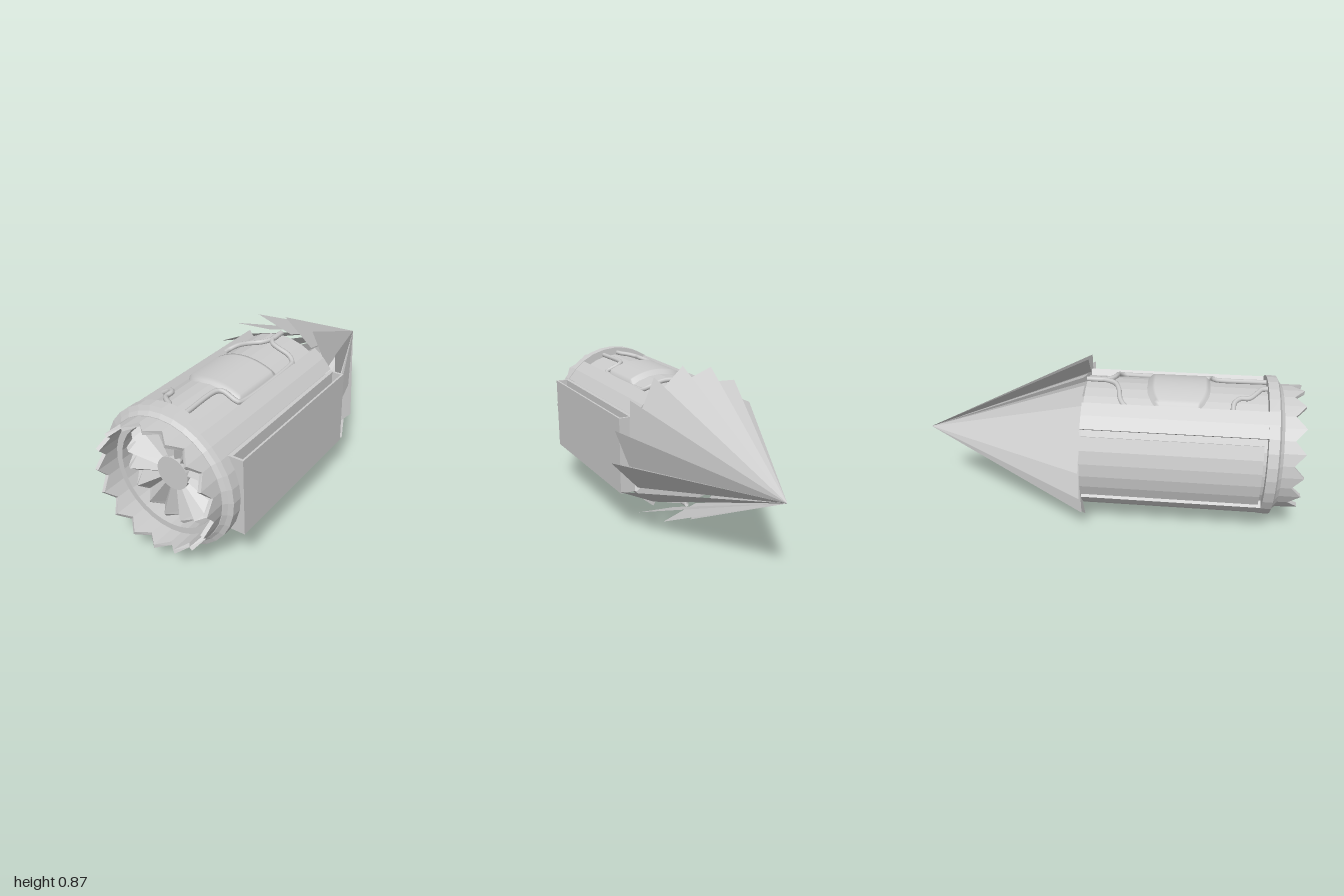
import * as THREE from 'three';
import { ParametricGeometry } from 'three/addons/geometries/ParametricGeometry.js';

const AXIS_Y = 0.44, FLOOR_R = 0.325, SIDES = 32, RAD = Math.PI / 180;

const flat = new THREE.MeshStandardMaterial({ color: 0xcccccc, flatShading: true, side: THREE.DoubleSide });
const smooth = new THREE.MeshStandardMaterial({ color: 0xcccccc, side: THREE.DoubleSide });

const polar = (r, a, z) => new THREE.Vector3(r * Math.cos(a), r * Math.sin(a), z);

// Skin a list of equally long rows of points
function loft(rows) {
  const n = rows[0].length, index = [];
  for (let i = 0; i < rows.length - 1; i++)
    for (let j = 0; j < n - 1; j++) {
      const a = i * n + j, b = a + n;
      index.push(a, b, a + 1, b, b + 1, a + 1);
    }
  const g = new THREE.BufferGeometry().setFromPoints(rows.flat());
  g.setIndex(index);
  g.computeVertexNormals();
  return g;
}

// Turned part about the z axis, profile as [radius, z]
function turned(profile) {
  const points = profile.map(([r, z]) => new THREE.Vector2(r, z));
  return new THREE.LatheGeometry(points, SIDES).rotateX(Math.PI / 2);
}

// Curved slab between two angles, running along z
function slab(rIn, rOut, from, to, z0, z1) {
  const steps = Math.max(2, Math.round((to - from) / 11));
  const pts = [];
  for (const [r, a, b] of [[rOut, from, to], [rIn, to, from]])
    for (let i = 0; i <= steps; i++) {
      const t = (a + (b - a) * i / steps) * RAD;
      pts.push(new THREE.Vector2(r * Math.cos(t), r * Math.sin(t)));
    }
  return new THREE.ExtrudeGeometry(new THREE.Shape(pts), { depth: z1 - z0, bevelEnabled: false }).translate(0, 0, z0);
}

// Pipe laid on the curved floor, path as [x, z]; side is +1 top or -1 bottom
function pipe(path, side) {
  const r = FLOOR_R + 0.012;
  const pts = path.map(([x, z]) => new THREE.Vector3(x, side * Math.sqrt(r * r - x * x), z));
  const curve = new THREE.CatmullRomCurve3(pts, false, 'centripetal');
  return new THREE.TubeGeometry(curve, 60, 0.013, 8);
}

// Raised cover with one round end and chamfered long edges
function cover(side) {
  return new ParametricGeometry((u, v, out) => {
    const x = -0.185 + 0.355 * u;
    const k = Math.max(0, 1 - (x + 0.185) / 0.15);
    const half = 0.07 + 0.095 * Math.sqrt(1 - k * k);
    const w = v * 2 - 1;
    const lift = Math.min(1, (1 - Math.abs(w)) * 6, u * 12, (1 - u) * 30);
    const r = FLOOR_R - 0.004 + 0.026 * lift;
    out.set(x, side * Math.sqrt(r * r - x * x), 0.36 + half * w);
  }, 30, 24);
}

export function createModel() {
  const root = new THREE.Group();
  const model = new THREE.Group();
  model.name = 'drillBody';
  model.position.y = AXIS_Y;
  root.add(model);
  const add = (name, geometry, material = flat) => {
    const mesh = new THREE.Mesh(geometry, material);
    mesh.name = name;
    model.add(mesh);
    return mesh;
  };

  // Core drum, closed at the back
  add('drum', turned([[0, -0.118], [FLOOR_R, -0.118], [FLOOR_R, 0.82]]));

  // Four long ribs and the flush left panel
  for (let i = 0; i < 4; i++)
    add('rib', slab(0.3, 0.365, 34 + 90 * i, 56 + 90 * i, -0.12, 0.82));
  add('leftPanel', slab(0.3, 0.365, 152, 208, -0.12, 0.79));

  // Collar and the mouth behind the crown
  add('collar', turned([[0.3, 0.81], [0.368, 0.81], [0.368, 0.862], [0.345, 0.873], [0.328, 0.89],
    [0.305, 0.89], [0.305, 0.87], [0.272, 0.87], [0.272, 0.76]]));

  // Toothed crown
  const crownRows = [];
  for (let i = 0; i <= SIDES; i++) {
    const a = (i / SIDES) * Math.PI * 2, tip = i % 2 ? 0.945 : 1;
    crownRows.push([polar(0.325, a, 0.87), polar(0.325, a, tip), polar(0.305, a, tip), polar(0.305, a, 0.87)]);
  }
  add('crown', loft(crownRows));

  // Pleated intake and its hub
  const pleatRows = [];
  for (let i = 0; i <= SIDES; i++) {
    const a = (i / SIDES) * Math.PI * 2, ridge = i % 2;
    pleatRows.push([
      polar(0.272, a, ridge ? 0.84 : 0.79),
      polar(0.245, a, ridge ? 0.86 : 0.79),
      polar(0.088, a, ridge ? 0.83 : 0.805),
    ]);
  }
  add('intakePleats', loft(pleatRows));
  add('hub', turned([[0.088, 0.79], [0.088, 0.832], [0, 0.832]]));

  // Sixteen overlapping blades meeting at the point
  for (let i = 0; i < 16; i++) {
    const a = (86.7 + 22.5 * i) * RAD;
    const g = new THREE.BufferGeometry().setFromPoints([
      new THREE.Vector3(0, 0, -1), polar(0.436, a, -0.115), polar(0.345, a - 28.5 * RAD, -0.122),
    ]);
    g.computeVertexNormals();
    add('coneBlade', g);
  }

  // Pipes and cover in the top and bottom recesses
  const paths = [
    [[0, -0.12], [0, -0.03], [-0.03, 0.03], [-0.08, 0.055], [-0.15, 0.07], [-0.185, 0.1], [-0.19, 0.14]],
    [[0, -0.12], [0, -0.03], [0.03, 0.015], [0.07, 0.03], [0.14, 0.035], [0.175, 0.06], [0.18, 0.1],
      [0.18, 0.5], [0.17, 0.535], [0.09, 0.54], [0.07, 0.56], [0.07, 0.81]],
    [[-0.195, 0.635], [-0.14, 0.64], [-0.11, 0.67], [-0.105, 0.715], [-0.07, 0.75], [-0.03, 0.78], [-0.02, 0.81]],
  ];
  for (const side of [1, -1]) {
    for (const path of paths) add('pipe', pipe(path, side), smooth);
    add('cover', cover(side), smooth);
  }

  // Hollow side box, open at its top and bottom
  const rect = (T, x0, x1, z0, z1) => new T([[x0, -z0], [x1, -z0], [x1, -z1], [x0, -z1]]
    .map(([x, y]) => new THREE.Vector2(x, y)));
  const boxShape = rect(THREE.Shape, 0.305, 0.385, -0.11, 0.81);
  boxShape.holes.push(rect(THREE.Path, 0.325, 0.375, -0.098, 0.798));
  const box = new THREE.ExtrudeGeometry(boxShape, { depth: 0.405, bevelEnabled: false });
  add('sideBox', box.rotateX(-Math.PI / 2).translate(0, -0.2025, 0));

  return root;
}
